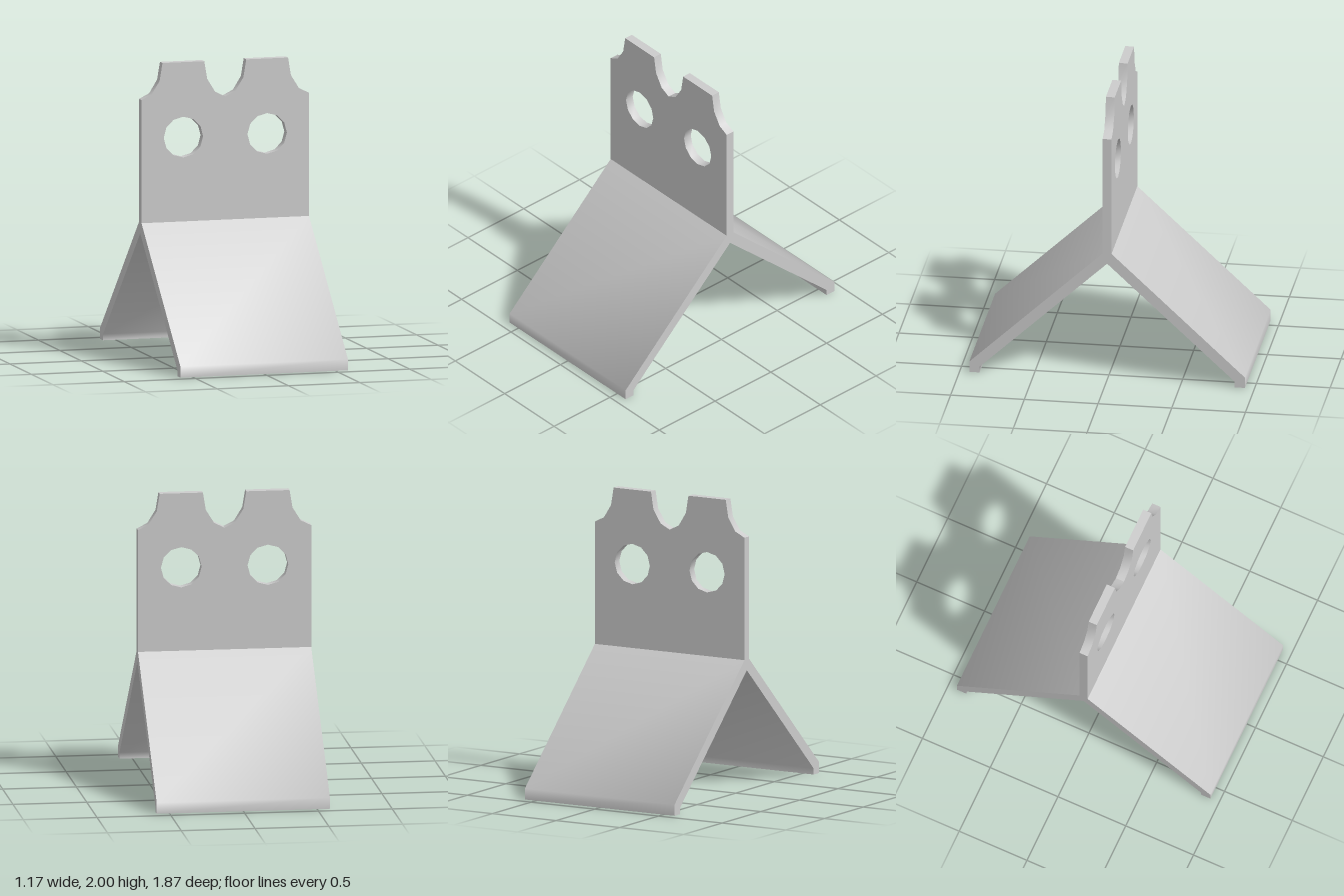
import * as THREE from 'three';
import { toCreasedNormals } from 'three/addons/utils/BufferGeometryUtils.js';

const HALF_WIDTH = 0.587;
const THICKNESS = 0.06;

const points = (list) => list.map(([x, y]) => new THREE.Vector2(x, y));

// Extrudes a shape centred on z = 0, smoothing bends below the crease angle
function extrude(shape, depth, crease) {
  const geometry = new THREE.ExtrudeGeometry(shape, { depth, bevelEnabled: false });
  geometry.translate(0, 0, -depth / 2);
  return toCreasedNormals(geometry, crease);
}

export function createModel() {
  const group = new THREE.Group();
  const material = new THREE.MeshStandardMaterial({ color: 0xcccccc });

  function add(name, geometry) {
    const mesh = new THREE.Mesh(geometry, material);
    mesh.name = name;
    group.add(mesh);
  }

  // Upright plate: two tabs with scooped shoulders and a round hole under each
  const center = HALF_WIDTH / 2;
  const scoop = [[0.147, 2], [0.222 - center + 0.198, 1.88], [0.071, 1.79], [0, 1.755]];
  scoop[1][0] = 0.127;
  const rightHalf = [
    [HALF_WIDTH, 0.885],
    ...scoop.slice().reverse().map(([x, y]) => [HALF_WIDTH - x, y]),
    ...scoop,
  ];
  const leftHalf = rightHalf.slice(0, -1).reverse().map(([x, y]) => [-x, y]);
  const plate = new THREE.Shape(points([...rightHalf, ...leftHalf]));
  for (const side of [-1, 1]) {
    const hole = [];
    for (let i = 0; i < 12; i++) {
      const a = -i * Math.PI / 6;
      hole.push([side * center + 0.138 * Math.cos(a), 1.492 + 0.138 * Math.sin(a)]);
    }
    plate.holes.push(new THREE.Path(points(hole)));
  }
  add('uprightPlate', extrude(plate, THICKNESS, 0.6));

  // Sloping legs with short vertical feet, as one inverted V profile
  const frontLeg = [
    [0, 0.847], [0.865, 0.042], [0.865, 0], [0.935, 0], [0.935, 0.075], [0.03, 0.92], [0, 0.89],
  ];
  const backLeg = frontLeg.slice(1, -1).reverse().map(([z, y]) => [-z, y]);
  const legs = extrude(new THREE.Shape(points([...frontLeg, ...backLeg])), HALF_WIDTH * 2, 0.9);
  legs.rotateY(-Math.PI / 2);
  add('legs', legs);

  return group;
}
